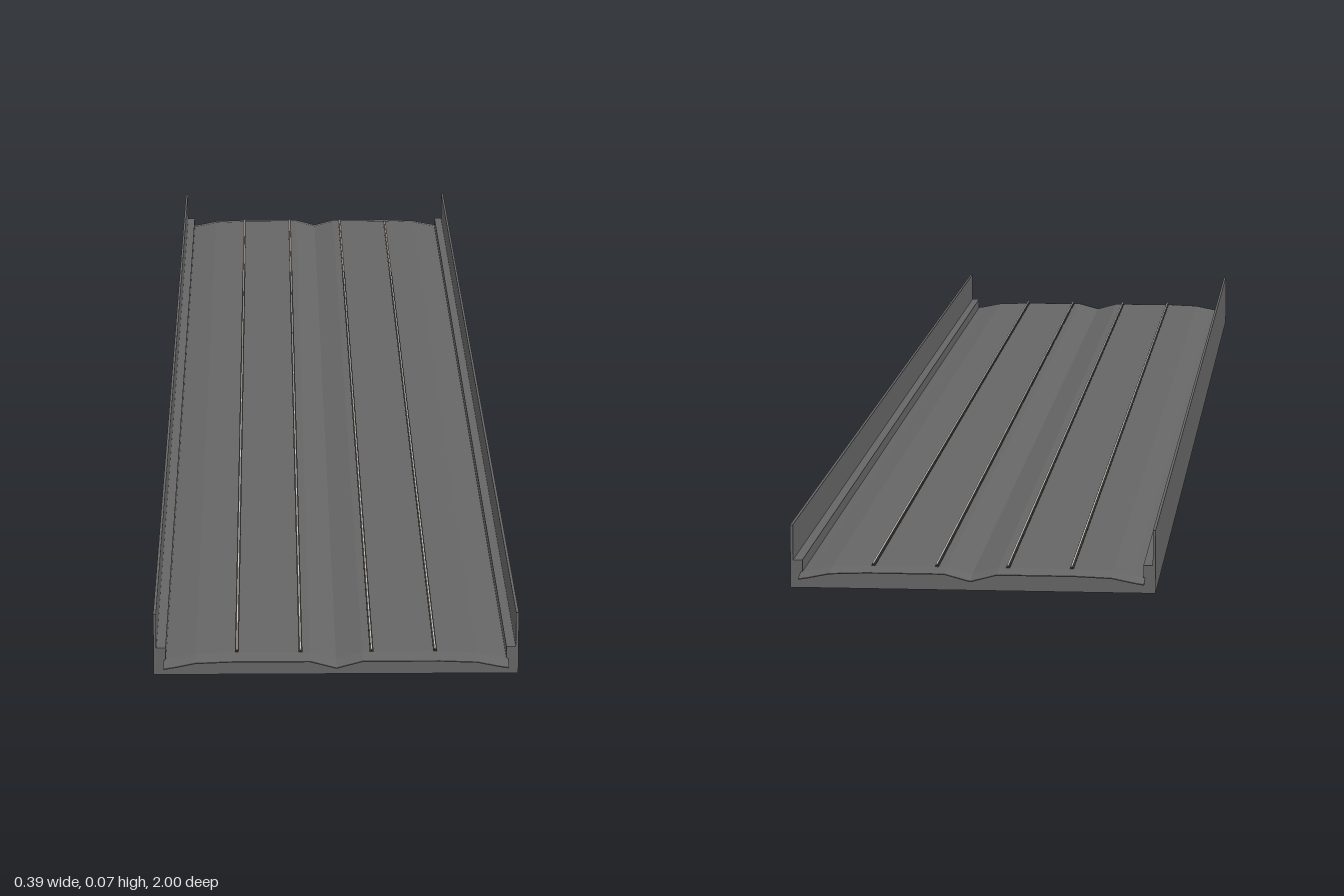
import * as THREE from 'three';

const concrete = new THREE.MeshStandardMaterial({ color: 0x666666 });
concrete.name = 'grey concrete';
const rust = new THREE.MeshStandardMaterial({ color: 0x4a4036 });
rust.name = 'rusty rail';
const steel = new THREE.MeshStandardMaterial({ color: 0xc4c4c4 });
steel.name = 'polished rail head';

const LENGTH = 1.956;

function box(parent, name, material, w, h, l, x, bottom) {
  const mesh = new THREE.Mesh(new THREE.BoxGeometry(w, h, l), material);
  mesh.name = name;
  mesh.position.set(x, bottom + h / 2, 0);
  parent.add(mesh);
}

// Two humped track beds with a drain between them; the ends droop and taper past the deck
function trackBedGeometry() {
  const half = [[0.028, 0.025], [0.11, 0.025], [0.15, 0.0235], [0.172, 0.019], [0.184, 0.017]];
  const top = [...half.map(([x, y]) => [-x, y]).reverse(), [0, 0.0175], ...half];
  const stations = [[-1, -0.003, 0.001], [-0.978, 0, 0.006], [0.978, 0, 0.006], [1, -0.003, 0.001]];
  const n = top.length;
  const rings = stations.map(([z, drop, thick]) => {
    const upper = top.map(([x, y]) => new THREE.Vector3(x, y + drop, z));
    const lower = upper.map((p) => p.clone().setY(p.y - thick)).reverse();
    return [...upper, ...lower];
  });
  const points = [];
  const quad = (a, b, c, d) => points.push(a, b, c, a, c, d);
  for (let s = 0; s < rings.length - 1; s++) {
    for (let i = 0; i < 2 * n; i++) {
      const j = (i + 1) % (2 * n);
      quad(rings[s][i], rings[s + 1][i], rings[s + 1][j], rings[s][j]);
    }
  }
  const back = rings[0], front = rings[rings.length - 1];
  for (let i = 0; i < n - 1; i++) {
    const k = 2 * n - 1 - i;
    quad(front[k], front[k - 1], front[i + 1], front[i]);
    quad(back[i], back[i + 1], back[k - 1], back[k]);
  }
  const geometry = new THREE.BufferGeometry().setFromPoints(points);
  geometry.computeVertexNormals();
  return geometry;
}

export function createModel() {
  const model = new THREE.Group();
  model.name = 'railwayViaduct';

  box(model, 'deck', concrete, 0.39, 0.0165, LENGTH, 0, 0);

  const bed = new THREE.Mesh(trackBedGeometry(), concrete);
  bed.name = 'trackBed';
  model.add(bed);

  for (const side of [-1, 1]) {
    // Edge curb with a thin parapet standing on its outer face
    box(model, 'curb', concrete, 0.013, 0.0135, LENGTH, side * 0.1885, 0.0165);
    box(model, 'parapet', concrete, 0.003, 0.038, LENGTH, side * 0.1935, 0.03);

    // One track per side, each with two rails
    const track = new THREE.Group();
    track.name = side < 0 ? 'rightTrack' : 'leftTrack';
    for (const x of [0.038, 0.106]) {
      box(track, 'railFoot', rust, 0.004, 0.0008, LENGTH, side * x, 0.0248);
      box(track, 'railWeb', rust, 0.0012, 0.0016, LENGTH, side * x, 0.0256);
      box(track, 'railHead', steel, 0.002, 0.0008, LENGTH, side * x, 0.0272);
    }
    model.add(track);
  }
  return model;
}
